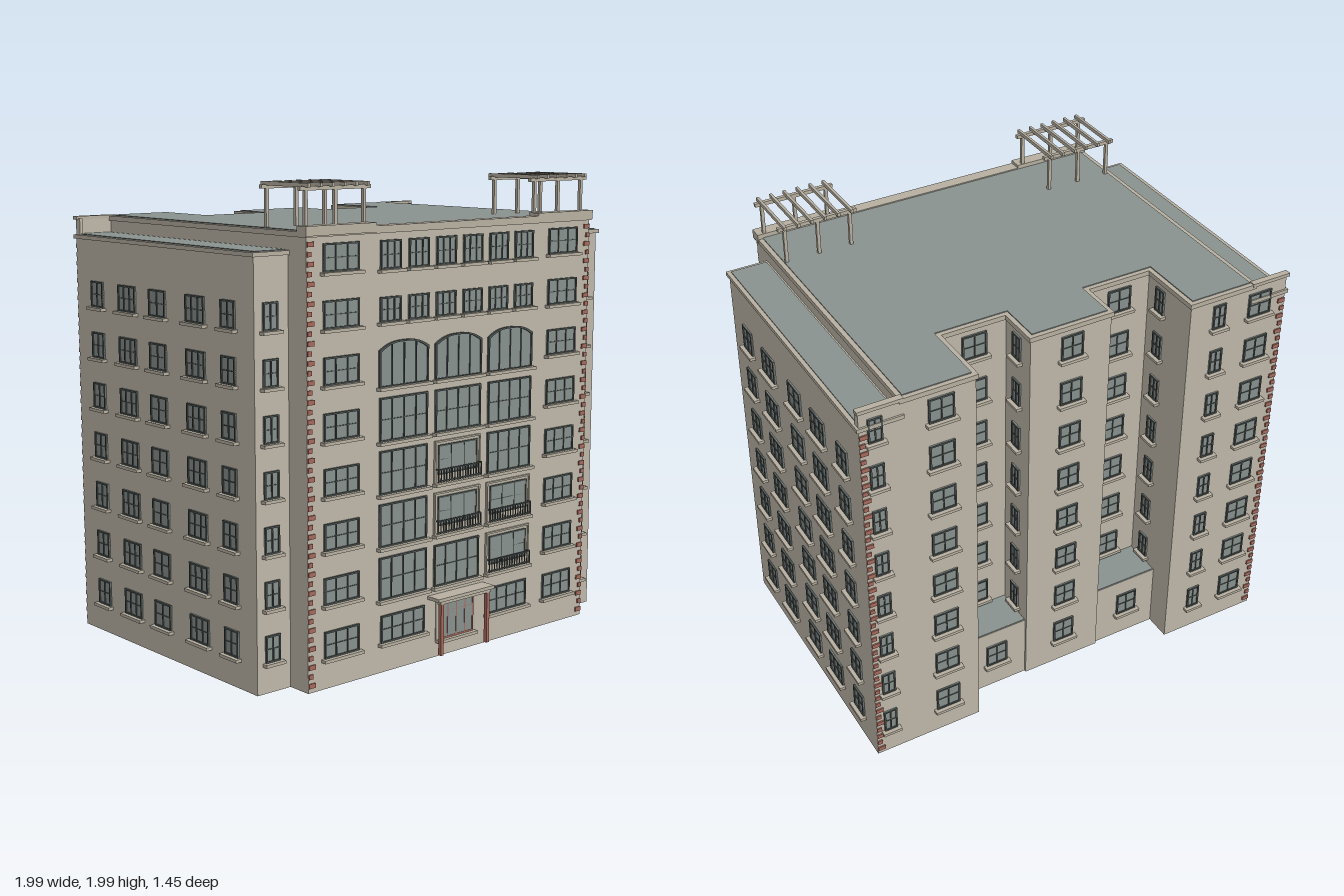
import * as THREE from 'three';
import { mergeGeometries } from 'three/addons/utils/BufferGeometryUtils.js';

const mat = (name, color) => {
  const m = new THREE.MeshStandardMaterial({ color });
  m.name = name;
  return m;
};

export function createModel() {
  const group = new THREE.Group();
  const wall = mat('wall stone', 0xbeb7a9), trim = mat('trim stone', 0xb7b0a1);
  const roof = mat('roof grey', 0x8a9290), glass = mat('window glass', 0x87908d);
  const frame = mat('dark frame', 0x4c5452), brick = mat('red brick', 0xa5695c);

  // Geometries gather under a part name and become one mesh per part
  const parts = new Map();
  const add = (name, material, geo) => {
    if (!parts.has(name)) parts.set(name, { material, geos: [] });
    parts.get(name).geos.push(geo.index ? geo.toNonIndexed() : geo);
  };
  const box = (name, material, x0, x1, y0, y1, z0, z1) => add(name, material,
    new THREE.BoxGeometry(x1 - x0, y1 - y0, z1 - z0).translate((x0 + x1) / 2, (y0 + y1) / 2, (z0 + z1) / 2));

  // Main block footprint (x, -z), grown outward by d
  const L = -0.805, R = 0.79, XL = -0.97, XR = 0.965;
  const plan = [[L, -0.65], [R, -0.65], [R, 0.7], [0.475, 0.7], [0.475, 0.4], [0.175, 0.4], [0.175, 0.59],
    [-0.195, 0.59], [-0.195, 0.4], [-0.5, 0.4], [-0.5, 0.7], [L, 0.7]];
  const footprint = d => new THREE.Shape(plan.map(([x, y], i) => {
    const p = plan[(i + plan.length - 1) % plan.length], n = plan[(i + 1) % plan.length];
    const nx = Math.sign(y - p[1]) + Math.sign(n[1] - y), ny = -Math.sign(x - p[0]) - Math.sign(n[0] - x);
    return new THREE.Vector2(x + d * nx, y + d * ny);
  }));
  const slab = (name, material, d, y0, y1) => add(name, material,
    new THREE.ExtrudeGeometry(footprint(d), { depth: y1 - y0, bevelEnabled: false })
      .rotateX(-Math.PI / 2).translate(0, y0, 0));
  slab('mainBlock', wall, 0, 0, 1.79);
  slab('roofCoping', trim, 0.008, 1.785, 1.806);
  slab('mainRoof', roof, -0.012, 1.8, 1.81);

  // Lower side wings with their flat roofs and rear parapets
  for (const [a, b, out, s] of [[XL, L, XL, 1], [R, XR, XR, -1]]) {
    box('sideWings', wall, a, b, 0, 1.72, -0.7, 0.54);
    box('wingCoping', trim, a - 0.01, b + 0.01, 1.715, 1.732, -0.708, 0.55);
    box('wingRoofs', roof, a + 0.008, b - 0.008, 1.725, 1.736, -0.69, 0.535);
    box('rearParapets', wall, a, b, 1.73, 1.8, -0.7, -0.685);
    box('parapetCaps', trim, a - 0.008, b + 0.008, 1.795, 1.81, -0.71, -0.682);
    box('rearParapets', wall, Math.min(out, out + s * 0.015), Math.max(out, out + s * 0.015), 1.73, 1.8, -0.69, -0.67);
  }

  // Front parapet, raised at both ends
  box('frontParapet', trim, -0.46, 0.46, 1.79, 1.815, 0.605, 0.66);
  for (const [a, b] of [[L - 0.01, -0.46], [0.455, R + 0.01]])
    box('frontParapet', trim, a, b, 1.79, 1.828, 0.605, 0.662);

  // Ground-floor infill inside the rear light wells
  for (const [a, b] of [[-0.5, -0.195], [0.175, 0.475]]) {
    box('rearInfill', wall, a, b, 0, 0.31, -0.58, -0.4);
    box('rearInfillRoof', roof, a + 0.003, b - 0.003, 0.305, 0.315, -0.578, -0.4);
  }

  // Each face maps (u along, y up, out) onto a wall
  const face = (name, x, z, turn) => ({ name, m: new THREE.Matrix4().makeRotationY(turn).setPosition(x, 0, z) });
  const on = (f, part, material, u, y, w, h, d, out = 0) => add(f.name + part, material,
    new THREE.BoxGeometry(w, h, d).translate(u, y, out + d / 2).applyMatrix4(f.m));
  const bars = (f, u, y, w, h, cols, rows, material, part) => {
    const t = 0.007;
    for (const s of [-1, 1]) {
      on(f, part, material, u + s * (w - t) / 2, y, t, h, 0.009);
      on(f, part, material, u, y + s * (h - t) / 2, w, t, 0.009);
    }
    for (let i = 1; i < cols; i++) on(f, part, material, u - w / 2 + w * i / cols, y, 0.005, h, 0.008);
    for (let i = 1; i < rows; i++) on(f, part, material, u, y - h / 2 + h * i / rows, w, 0.004, 0.007);
  };
  const sill = (f, u, y, w) => on(f, 'Sills', trim, u, y, w + 0.025, 0.013, 0.026);
  const win = (f, u, y, w, h, cols = 2, rows = 2) => {
    on(f, 'Glass', glass, u, y, w, h, 0.004);
    bars(f, u, y, w, h, cols, rows, frame, 'Frames');
    sill(f, u, y - h / 2 - 0.006, w);
  };
  const floorY = k => 0.18 + 0.2178 * k;
  const stack = (f, u, w, from, to, cols = 2) => {
    for (let k = from; k <= to; k++) win(f, u, floorY(k), w, 0.11, cols);
  };

  const front = face('front', 0, 0.65, 0), wingFront = face('wingFront', 0, 0.54, 0);
  stack(front, -0.635, 0.18, 0, 7, 3);
  stack(front, 0.62, 0.18, 0, 7, 3);
  stack(wingFront, -0.895, 0.072, 0, 6);
  stack(wingFront, 0.875, 0.072, 0, 6);
  for (let i = 0; i < 6; i++) {
    win(front, -0.38 + i * 0.1515, 1.7, 0.11, 0.115, 3);
    win(front, -0.38 + i * 0.1515, 1.485, 0.11, 0.1, 3);
  }

  // Balcony: small window in a panel behind a railing
  const balcony = (u, y0) => {
    on(front, 'BalconyPanels', trim, u, y0 + 0.09, 0.264, 0.18, 0.004);
    bars(front, u, y0 + 0.09, 0.264, 0.18, 1, 1, trim, 'BalconySurrounds');
    on(front, 'Glass', glass, u, y0 + 0.1, 0.225, 0.125, 0.007);
    bars(front, u, y0 + 0.1, 0.225, 0.125, 3, 2, frame, 'Frames');
    sill(front, u, y0 - 0.004, 0.25);
    for (const dy of [0.014, 0.062]) on(front, 'Railings', frame, u, y0 + dy, 0.25, 0.005, 0.005, 0.02);
    for (let i = 0; i <= 16; i++)
      on(front, 'Railings', frame, u - 0.124 + i * 0.0155, y0 + 0.035, 0.004, 0.054, 0.004, 0.02);
    for (const s of [-1, 1]) on(front, 'Railings', frame, u + s * 0.124, y0 + 0.062, 0.004, 0.005, 0.022);
  };

  // Arched window with a flat segmental head
  const arch = (w, h, rise) => {
    const s = new THREE.Shape();
    s.moveTo(-w / 2, 0).lineTo(w / 2, 0).lineTo(w / 2, h - rise);
    s.bezierCurveTo(w * 0.3, h, w * 0.15, h, 0, h);
    s.bezierCurveTo(-w * 0.15, h, -w * 0.3, h, -w / 2, h - rise);
    s.closePath();
    return s;
  };
  const archWindow = (u, y0) => {
    const put = (part, material, shape, d, dy = 0) => add('front' + part, material,
      new THREE.ExtrudeGeometry(shape, { depth: d, bevelEnabled: false, curveSegments: 8 })
        .translate(u, y0 + dy, 0).applyMatrix4(front.m));
    put('Glass', glass, arch(0.26, 0.178, 0.034), 0.004);
    const ring = arch(0.266, 0.182, 0.034);
    ring.holes.push(new THREE.Path(arch(0.25, 0.17, 0.034).getPoints(8).map(p => p.setY(p.y + 0.005)).reverse()));
    put('Frames', frame, ring, 0.009);
    for (let i = -1; i <= 1; i++) on(front, 'Frames', frame, u + i * 0.065, y0 + 0.085, 0.005, 0.17, 0.008);
    sill(front, u, y0 - 0.006, 0.26);
  };

  // Three tall central bays
  const bays = [-0.307, -0.003, 0.302], bayY = [0.305, 0.525, 0.742, 0.957];
  const balconies = ['2,0', '1,1', '2,1', '1,2'];
  bays.forEach((u, c) => {
    bayY.forEach((y0, r) => {
      if (balconies.includes(c + ',' + r)) balcony(u, y0);
      else win(front, u, y0 + 0.089, 0.26, 0.178, 4, 2);
    });
    archWindow(u, 1.177);
    if (c !== 1) win(front, u, 0.182, 0.24, 0.115, 4, 2);
  });

  // Entrance door and canopy
  on(front, 'DoorSurround', trim, -0.003, 0.16, 0.23, 0.19, 0.004);
  on(front, 'DoorGlass', glass, -0.003, 0.16, 0.2, 0.175, 0.007);
  bars(front, -0.003, 0.16, 0.2, 0.175, 4, 3, brick, 'DoorFrame');
  sill(front, -0.003, 0.066, 0.2);
  box('canopy', trim, -0.165, 0.16, 0.258, 0.272, 0.64, 0.72);
  box('canopyBeam', trim, -0.15, 0.145, 0.245, 0.26, 0.695, 0.715);
  for (const x of [-0.137, 0.131]) box('canopyPosts', brick, x - 0.008, x + 0.008, 0.025, 0.25, 0.697, 0.713);

  // Side elevations; u runs along -z on the model's left, +z on its right
  for (const [f, s] of [[face('left', XR, 0, Math.PI / 2), -1], [face('right', XL, 0, -Math.PI / 2), 1]])
    for (const [z, w] of [[0.38, 0.09], [0.165, 0.125], [-0.095, 0.115], [-0.315, 0.125], [-0.54, 0.09]])
      stack(f, s * z, w, 0, 6, w > 0.12 ? 3 : 2);

  // Rear elevations; u runs along -x
  const wingBack = face('wingBack', 0, -0.7, Math.PI);
  for (const [x, w] of [[-0.84, 0.11], [-0.64, 0.06], [0.625, 0.11], [0.9, 0.06]]) stack(wingBack, -x, w, 0, 7);
  stack(face('centreBack', 0, -0.59, Math.PI), 0.015, 0.1, 0, 7);
  const wellBack = face('wellBack', 0, -0.4, Math.PI), infillBack = face('infillBack', 0, -0.58, Math.PI);
  for (const x of [-0.355, 0.32]) {
    stack(infillBack, -x, 0.1, 0, 0);
    stack(wellBack, -x, 0.11, 1, 7);
  }
  // Light well side walls
  for (const x of [-0.5, 0.175]) stack(face('wellSide', x, -0.49, Math.PI / 2), 0, 0.06, 1, 7);
  for (const x of [-0.195, 0.475]) stack(face('wellSide', x, -0.49, -Math.PI / 2), 0, 0.06, 1, 7);

  // Brick quoins up the front and rear corners, alternating in width
  for (let i = 0; i < 47; i++) {
    const y = 0.02 + i * 0.0376, w = i % 2 ? 0.022 : 0.034;
    box('frontQuoins', brick, L + 0.001, L + w, y, y + 0.019, 0.64, 0.656);
    box('frontQuoins', brick, R - w, R - 0.001, y, y + 0.019, 0.64, 0.656);
    if (y > 1.69) continue;
    box('rearQuoins', brick, XL + 0.001, XL + w, y, y + 0.019, -0.706, -0.69);
    box('rearQuoins', brick, XR - w, XR - 0.001, y, y + 0.019, -0.706, -0.69);
  }

  // Roof pergolas: posts, two long beams, six rafters
  for (const x0 of [-0.78, 0.475]) {
    for (const z of [0.38, 0.615]) {
      for (let i = 0; i < 3; i++) {
        const x = x0 + i * 0.146;
        box('pergolaPosts', trim, x - 0.007, x + 0.007, 1.8, 1.965, z - 0.007, z + 0.007);
      }
      box('pergolaBeams', trim, x0 - 0.03, x0 + 0.322, 1.958, 1.974, z - 0.008, z + 0.008);
    }
    for (let i = 0; i < 6; i++) {
      const x = x0 + i * 0.0595;
      box('pergolaRafters', trim, x - 0.006, x + 0.006, 1.97, 1.986, 0.35, 0.64);
    }
  }

  for (const [name, { material, geos }] of parts) {
    const mesh = new THREE.Mesh(mergeGeometries(geos), material);
    mesh.name = name;
    group.add(mesh);
  }
  return group;
}
